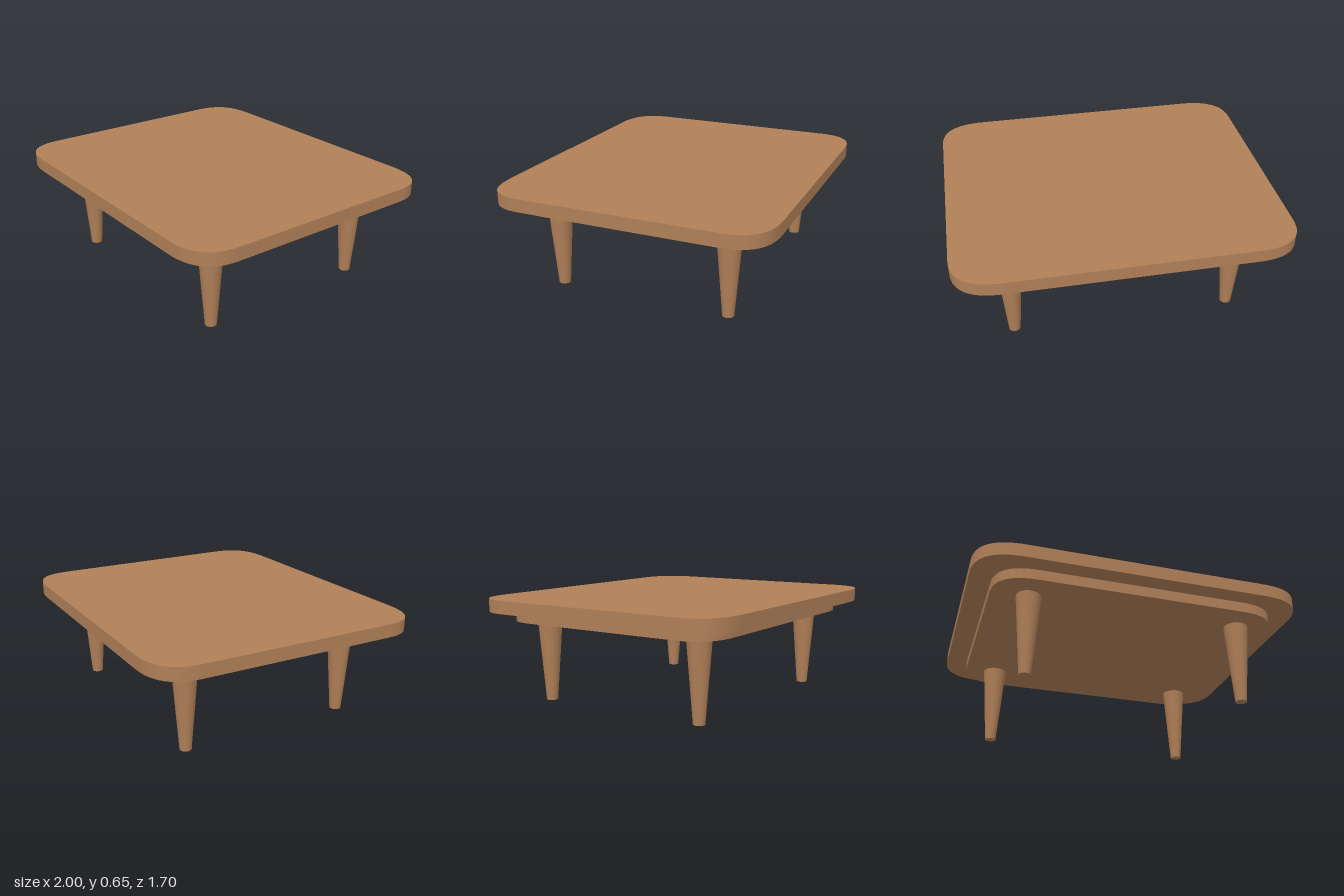
import * as THREE from 'three';

// Horizontal slab with softly rounded corners, from y0 up to y1
function slab(name, hx, hz, rx, rz, y0, y1, material) {
  const s = new THREE.Shape();
  s.moveTo(-hx + rx, -hz);
  s.lineTo(hx - rx, -hz);
  s.quadraticCurveTo(hx, -hz, hx, -hz + rz);
  s.lineTo(hx, hz - rz);
  s.quadraticCurveTo(hx, hz, hx - rx, hz);
  s.lineTo(-hx + rx, hz);
  s.quadraticCurveTo(-hx, hz, -hx, hz - rz);
  s.lineTo(-hx, -hz + rz);
  s.quadraticCurveTo(-hx, -hz, -hx + rx, -hz);
  const geometry = new THREE.ExtrudeGeometry(s, { depth: y1 - y0, bevelEnabled: false, curveSegments: 20 });
  geometry.rotateX(-Math.PI / 2);
  geometry.translate(0, y0, 0);
  const mesh = new THREE.Mesh(geometry, material);
  mesh.name = name;
  return mesh;
}

export function createModel() {
  const table = new THREE.Group();
  table.name = 'lowTable';
  const wood = new THREE.MeshStandardMaterial({ color: 0xb08058 });
  wood.name = 'wood';

  // Table top and the smaller slab beneath it
  table.add(slab('tableTop', 1, 0.85, 0.28, 0.24, 0.567, 0.647, wood));
  table.add(slab('underframe', 0.87, 0.74, 0.245, 0.21, 0.503, 0.567, wood));

  // Tapered round legs; the front right one sits slightly inward
  const legHeight = 0.503;
  const legGeometry = new THREE.CylinderGeometry(0.075, 0.035, legHeight, 32);
  const legs = {
    frontLeftLeg: [0.67, 0.54],
    frontRightLeg: [-0.645, 0.54],
    backLeftLeg: [0.67, -0.54],
    backRightLeg: [-0.67, -0.54],
  };
  for (const [name, [x, z]] of Object.entries(legs)) {
    const leg = new THREE.Mesh(legGeometry, wood);
    leg.name = name;
    leg.position.set(x, legHeight / 2, z);
    table.add(leg);
  }
  return table;
}
